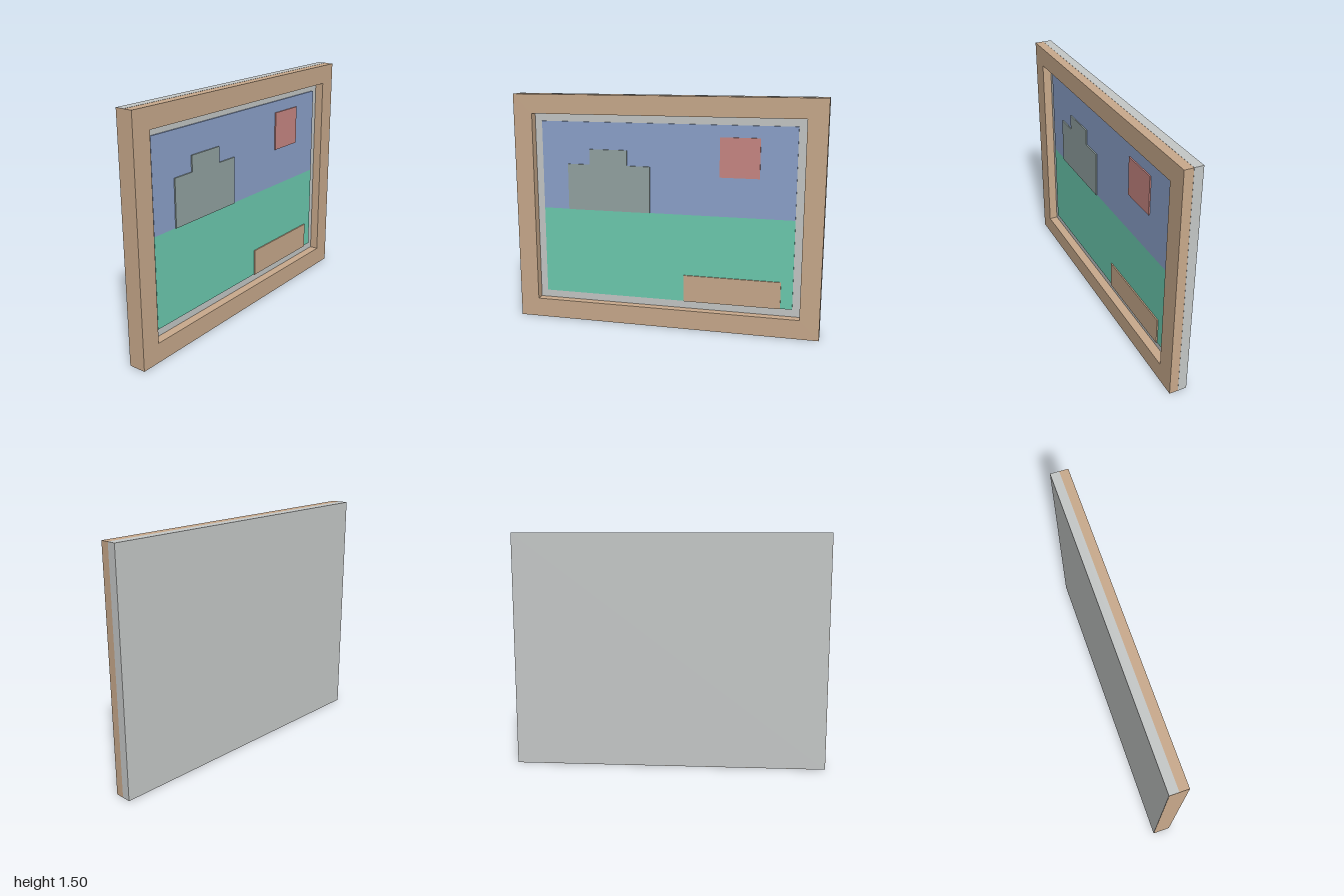
import * as THREE from 'three';

const paint = (name, color) => {
  const m = new THREE.MeshStandardMaterial({ color });
  m.name = name;
  return m;
};

// Shape from a list of corner points
const outline = (pts) => new THREE.Shape(pts.map(([x, y]) => new THREE.Vector2(x, y)));
const rect = (x0, y0, x1, y1) => outline([[x0, y0], [x1, y0], [x1, y1], [x0, y1]]);

export function createModel() {
  const wood = paint('tan wood', 0xc9aa8c);
  const grey = paint('light grey', 0xc5c8c7);
  const blue = paint('sky blue', 0x8ca2cb);
  const green = paint('meadow green', 0x6ccbb0);
  const stone = paint('stone grey', 0x93a3a2);
  const red = paint('soft red', 0xc98783);

  const group = new THREE.Group();
  group.name = 'framedPicture';

  // Flat slab spanning z0 to z1
  const slab = (name, shape, z0, z1, material) => {
    const geo = new THREE.ExtrudeGeometry(shape, { depth: z1 - z0, bevelEnabled: false });
    geo.translate(0, 0, z0);
    const mesh = new THREE.Mesh(geo, material);
    mesh.name = name;
    group.add(mesh);
  };

  // Frame with a rectangular opening
  const e = 0.001;
  const frame = rect(-1, 0, 1 - e, 1.5 - e);
  frame.holes.push(rect(-0.875, 0.125, 0.875, 1.375));
  slab('frame', frame, -0.055 + e, 0.056, wood);

  // Backing board, also visible as the mat around the picture
  slab('backingBoard', rect(-1 + e, e, 1, 1.5), -0.056, 0, grey);

  // Painted landscape
  slab('sky', rect(-0.825, 0.75, 0.825, 1.325), 0, 0.009, blue);
  slab('meadow', rect(-0.825, 0.175, 0.825, 0.75), 0, 0.009, green);

  // Raised details on the landscape
  slab('building', outline([
    [-0.65, 0.75], [-0.1, 0.75], [-0.1, 1.05], [-0.25, 1.05],
    [-0.25, 1.15], [-0.5, 1.15], [-0.5, 1.05], [-0.65, 1.05],
  ]), 0.009, 0.017, stone);
  slab('sun', rect(0.35, 1, 0.6, 1.25), 0.009, 0.017, red);
  slab('foregroundBlock', rect(0.125, 0.175, 0.75, 0.35), 0.009, 0.017, wood);

  return group;
}
